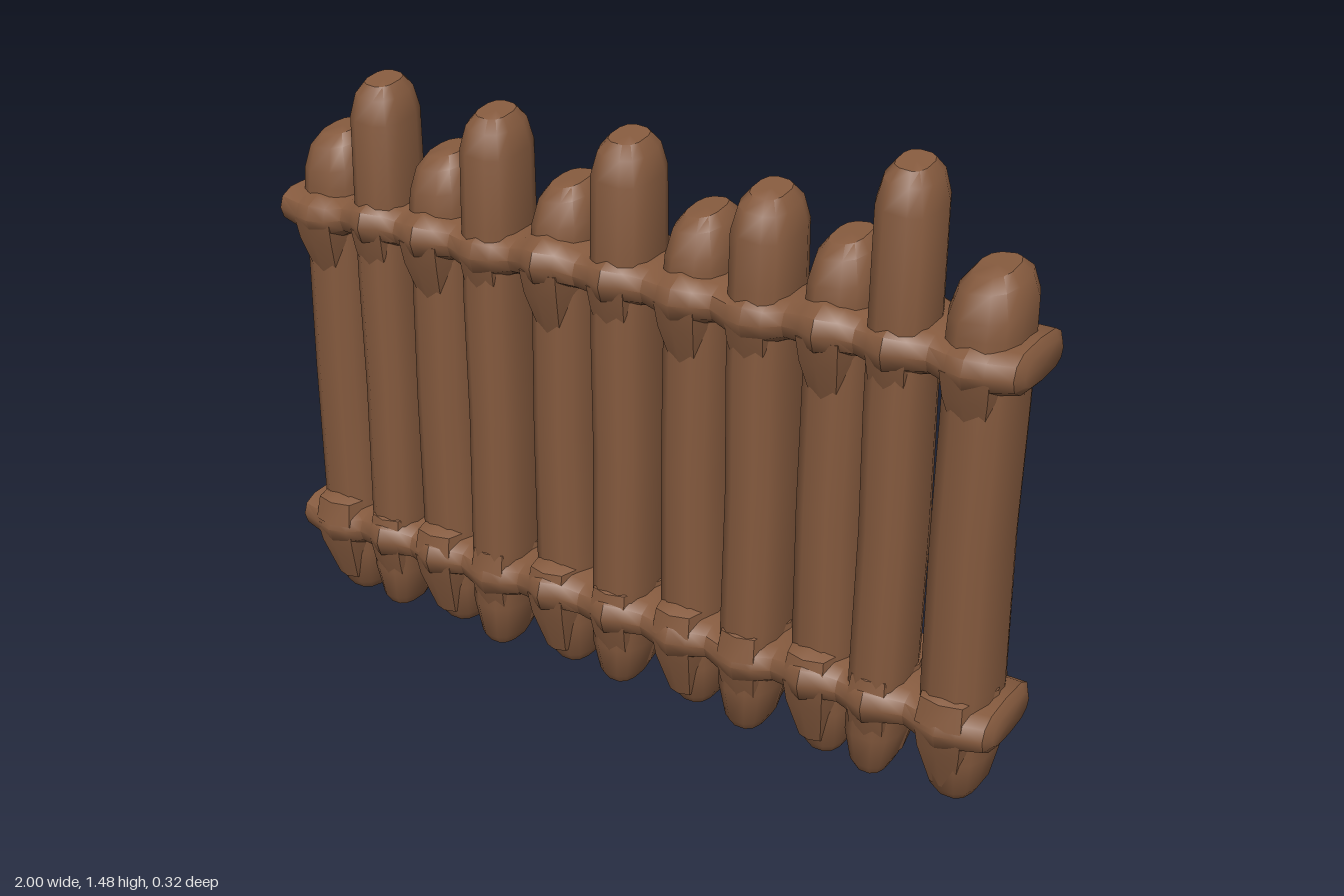
import * as THREE from 'three';
import { toCreasedNormals } from 'three/addons/utils/BufferGeometryUtils.js';

const wood = new THREE.MeshStandardMaterial({ color: 0x855a3e });
wood.name = 'brown wood';

// Skin a list of equal-length rings and close both ends
function loft(rings) {
  const n = rings[0].length, pos = [], idx = [];
  rings.forEach(r => r.forEach(p => pos.push(...p)));
  for (let i = 0; i < rings.length - 1; i++) {
    for (let j = 0; j < n; j++) {
      const a = i * n + j, b = i * n + (j + 1) % n;
      idx.push(a, a + n, b, b, a + n, b + n);
    }
  }
  const cap = (ring, start, flip) => {
    const c = pos.length / 3;
    pos.push(...[0, 1, 2].map(k => ring.reduce((s, p) => s + p[k], 0) / n));
    for (let j = 0; j < n; j++) {
      const a = start + j, b = start + (j + 1) % n;
      flip ? idx.push(c, b, a) : idx.push(c, a, b);
    }
  };
  cap(rings[0], 0, false);
  cap(rings[rings.length - 1], (rings.length - 1) * n, true);
  const g = new THREE.BufferGeometry();
  g.setAttribute('position', new THREE.Float32BufferAttribute(pos, 3));
  g.setIndex(idx);
  return toCreasedNormals(g, 0.75);
}

// Point on a rounded rectangle of unit half-size
const round = (v, e) => Math.sign(v) * Math.pow(Math.abs(v), e);

// Centre x, top height, width, centre z, depth of each post
const posts = [
  [-0.88, 1.29, 0.17, -0.01, 0.21],
  [-0.705, 1.445, 0.14, 0.03, 0.18],
  [-0.545, 1.29, 0.165, -0.01, 0.21],
  [-0.37, 1.42, 0.145, 0.03, 0.19],
  [-0.19, 1.275, 0.155, -0.015, 0.21],
  [-0.003, 1.42, 0.15, 0.025, 0.19],
  [0.18, 1.275, 0.155, -0.01, 0.21],
  [0.36, 1.36, 0.15, 0.02, 0.2],
  [0.54, 1.285, 0.155, -0.01, 0.21],
  [0.70, 1.485, 0.14, 0.035, 0.18],
  [0.88, 1.285, 0.17, 0.0, 0.22],
];

function postGeometry([x, top, w, z, d], i) {
  const sides = 12, foot = 0.005 + 0.012 * ((i * 3) % 4) / 3;
  // Height, width scale, depth scale, sideways drift
  const profile = [
    [foot, 0.5, 0.62, 0.01], [foot + 0.025, 0.68, 0.8, 0.01], [0.13, 0.96, 1.02, 0.005],
    [0.3, 0.98, 1.06, 0], [0.65, 0.96, 1.06, -0.004], [0.95, 0.97, 1.06, 0],
    [1.15, 1, 1, 0], [top - 0.085, 1, 0.95, 0], [top - 0.03, 0.8, 0.8, 0], [top - 0.004, 0.52, 0.55, 0],
  ];
  const lean = i % 2 ? -1 : 1;
  return loft(profile.map(([y, sw, sd, dx], k) => Array.from({ length: sides }, (_, j) => {
    const a = (j + 0.5) / sides * Math.PI * 2;
    const px = round(Math.cos(a), 0.72) * w / 2 * sw;
    const pz = round(Math.sin(a), 0.72) * d / 2 * sd;
    // Tops slope a little towards the front
    const slope = k > 6 ? -pz * 0.15 + px * 0.1 * lean : 0;
    return [x + px + dx * lean, y + slope, z + pz];
  })));
}

// Lumpy rail that swells into a knot around every post
function railGeometry(cy, drop) {
  const rings = [];
  const ring = (x, h, front, back, lift) => {
    const sides = 12;
    rings.push(Array.from({ length: sides }, (_, j) => {
      const a = j / sides * Math.PI * 2;
      const c = Math.cos(a), s = -Math.sin(a);
      const y = round(c, 0.85) * h * (c < 0 ? drop : 1);
      return [x, cy + lift + y, round(s, 0.6) * (s > 0 ? front : back)];
    }));
  };
  ring(-1, 0.035, 0.1, 0.105, 0);
  ring(-0.985, 0.05, 0.125, 0.135, 0);
  posts.forEach(([x], i) => {
    const wob = (((i * 5) % 7) - 3) * 0.003;
    const edge = i % 10 === 0 ? 0.93 : 1;
    ring(x - 0.045, 0.056, 0.134, 0.134, wob);
    ring(x, 0.068 * edge, 0.154 + wob * 0.6, 0.156 - wob * 0.6, wob);
    ring(x + 0.045, 0.058, 0.136, 0.135, wob);
    if (i < posts.length - 1) ring((x + posts[i + 1][0]) / 2, 0.05, 0.122, 0.124, 0);
  });
  ring(0.985, 0.052, 0.125, 0.13, 0);
  ring(1, 0.035, 0.1, 0.1, 0);
  return loft(rings);
}

// Drooping web of wood between a rail knot and the post face
function knotGeometry([x, , w], cy, side, dir) {
  const section = (y, half, z) => {
    const r = [[x - half, y, 0], [x - half * 0.6, y, z * 0.9], [x, y, z], [x + half * 0.6, y, z * 0.9], [x + half, y, 0]];
    return side > 0 ? r.reverse() : r;
  };
  const far = cy + dir * (dir < 0 ? 0.17 : 0.08);
  const s = [section(cy, w * 0.55, side * 0.145), section(cy + dir * 0.06, w * 0.5, side * 0.132), section(far, w * 0.3, side * 0.09)];
  return loft(dir > 0 ? s : s.reverse());
}

export function createModel() {
  const fence = new THREE.Group();
  fence.name = 'fence';
  const add = (geometry, name) => {
    const m = new THREE.Mesh(geometry, wood);
    m.name = name;
    fence.add(m);
  };
  posts.forEach((p, i) => add(postGeometry(p, i), 'post' + (i + 1)));
  add(railGeometry(1.09, 1), 'topRail');
  add(railGeometry(0.225, 1.05), 'bottomRail');
  posts.forEach((p, i) => {
    for (const side of [1, -1]) {
      add(knotGeometry(p, 1.08, side, -1), 'topKnot' + (i + 1));
      add(knotGeometry(p, 0.23, side, 1), 'bottomKnot' + (i + 1));
      add(knotGeometry(p, 0.22, side, -1), 'lowerKnot' + (i + 1));
    }
  });
  return fence;
}
